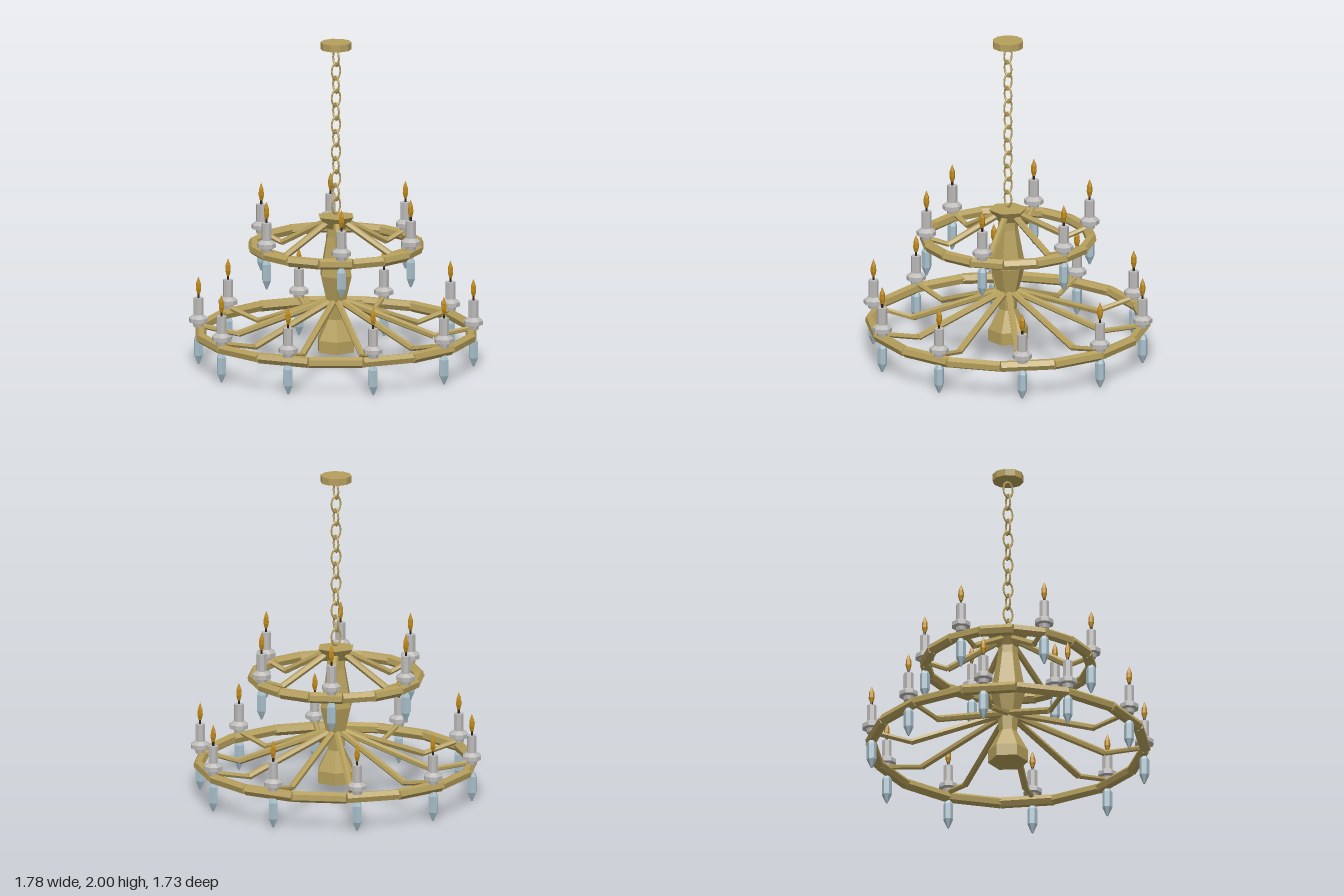
import * as THREE from 'three';

const mat = (name, color) => {
  const m = new THREE.MeshStandardMaterial({ color });
  m.name = name;
  return m;
};

export function createModel() {
  const brass = mat('brass', 0xb59f5c);
  const grey = mat('candle grey', 0xbcbab8);
  const black = mat('wick black', 0x2a2420);
  const amber = mat('flame amber', 0xbf8a1a);
  const glass = mat('crystal blue', 0xa8c0cc);

  // Facet a geometry so every face has its own normal
  const facet = (geo) => {
    const g = geo.index ? geo.toNonIndexed() : geo;
    g.computeVertexNormals();
    return g;
  };
  const add = (parent, name, geo, material) => {
    const mesh = new THREE.Mesh(geo, material);
    mesh.name = name;
    parent.add(mesh);
    return mesh;
  };
  // Faceted turned part from [radius, y] pairs, bottom to top, with a corner on +x
  const turned = (profile, sides) => facet(
    new THREE.LatheGeometry(profile.map(([r, y]) => new THREE.Vector2(r, y)), sides).rotateY(Math.PI / 2));
  // Six-sided rod between two points
  const up = new THREE.Vector3(0, 1, 0);
  const rod = (parent, name, a, b, radius) => {
    const dir = b.clone().sub(a);
    const mesh = add(parent, name, facet(new THREE.CylinderGeometry(radius, radius, dir.length(), 6)), brass);
    mesh.position.copy(a).add(b).multiplyScalar(0.5);
    mesh.quaternion.setFromUnitVectors(up, dir.normalize());
  };
  const polar = (r, y, angle) => new THREE.Vector3(r * Math.cos(angle), y, r * Math.sin(angle));

  const model = new THREE.Group();
  model.name = 'chandelier';

  // Ceiling canopy
  add(model, 'canopy', turned([[0, 1.957], [0.094, 1.957], [0.094, 2], [0, 2]], 10), brass);

  // Chain of alternating oval links
  const chain = new THREE.Group();
  chain.name = 'chain';
  model.add(chain);
  const linkGeo = facet(new THREE.TorusGeometry(0.031, 0.006, 6, 14).scale(1, 1.58, 1));
  for (let i = 0; i < 12; i++) {
    const link = add(chain, 'chainLink', linkGeo, brass);
    link.position.y = 0.99 + i * 0.083;
    link.rotation.y = (i % 2) * Math.PI / 2;
  }

  // Central column
  add(model, 'column', turned([
    [0, 0.09], [0.122, 0.09], [0.122, 0.165], [0.055, 0.29], [0.06, 0.38],
    [0.106, 0.56], [0.062, 0.8], [0.06, 0.85], [0.118, 0.925], [0, 0.925]
  ], 6), brass);

  // Candle parts, measured from the centre height of the ring
  const cupGeo = turned([[0, 0.025], [0.03, 0.025], [0.035, 0.05], [0.059, 0.055],
    [0.059, 0.08], [0.032, 0.1], [0, 0.1]], 8);
  const candleGeo = turned([[0, 0.08], [0.031, 0.08], [0.031, 0.205], [0, 0.205]], 8);
  const wickGeo = turned([[0, 0.2], [0.007, 0.2], [0.007, 0.24], [0, 0.24]], 6);
  const flameGeo = turned([[0, 0.23], [0.01, 0.23], [0.018, 0.26], [0.016, 0.295], [0, 0.338]], 6);
  const crystalGeo = turned([[0, -0.205], [0.006, -0.205], [0.03, -0.15],
    [0.03, -0.05], [0.018, -0.025], [0, -0.025]], 6);

  // One tier: ring, bent arms, candles and hanging crystals
  const tier = (name, y, radius, count, hubY, elbowR) => {
    const g = new THREE.Group();
    g.name = name;
    model.add(g);
    for (let i = 0; i < 16; i++) {
      rod(g, 'ringSegment', polar(radius, y, i * Math.PI / 8), polar(radius, y, (i + 1) * Math.PI / 8), 0.034);
    }
    for (let i = 0; i < count; i++) {
      const a = i * 2 * Math.PI / count;
      const elbow = polar(elbowR, y - 0.017, a);
      rod(g, 'innerArm', polar(0.045, hubY, a), elbow, 0.021);
      rod(g, 'outerArm', elbow, polar(radius, y + 0.035, a), 0.016);

      const light = new THREE.Group();
      light.name = 'candleHolder';
      light.position.copy(polar(radius, y, a));
      g.add(light);
      add(light, 'cup', cupGeo, grey);
      add(light, 'candle', candleGeo, grey);
      add(light, 'wick', wickGeo, black);
      add(light, 'flame', flameGeo, amber);
      add(light, 'crystal', crystalGeo, glass);
    }
  };
  tier('lowerTier', 0.205, 0.83, 10, 0.4, 0.59);
  tier('upperTier', 0.74, 0.503, 6, 0.9, 0.365);

  return model;
}
